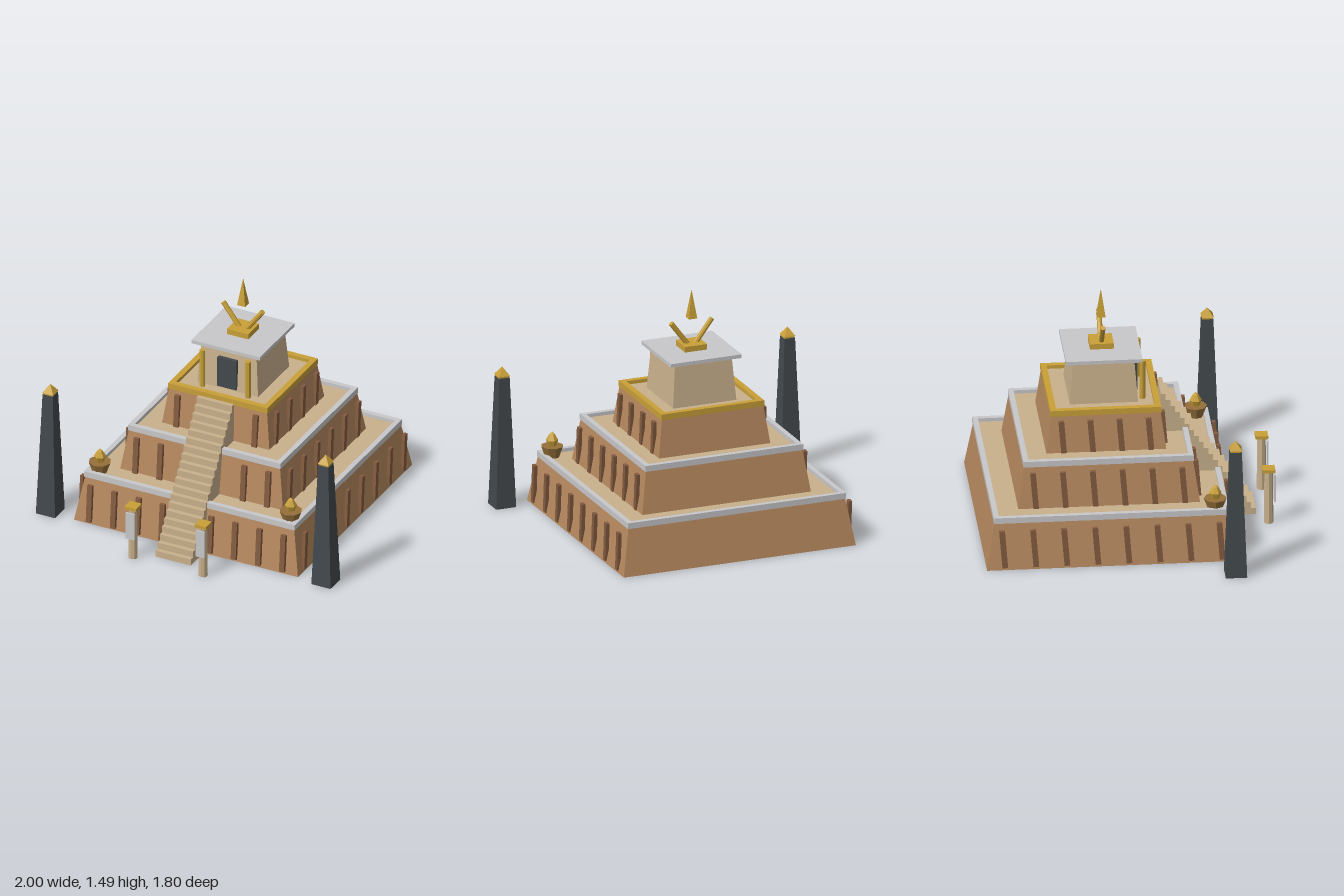
import * as THREE from 'three';

const CZ = -0.14; // centre of the stepped temple in z
const mat = (name, color) => Object.assign(new THREE.MeshStandardMaterial({ color }), { name });

export function createModel() {
  const brick = mat('brick', 0xb5885e);
  const pilasterBrown = mat('pilasterBrown', 0x845c40);
  const sand = mat('sand', 0xc8b08c);
  const stone = mat('paleStone', 0xc8c8ca);
  const gold = mat('gold', 0xc9a038);
  const dark = mat('darkStone', 0x43494d);
  const bronze = mat('bronze', 0x96703a);

  const model = new THREE.Group();
  model.name = 'steppedTemple';

  // Adds a faceted mesh
  function add(name, geometry, material, x = 0, y = 0, z = 0, parent = model) {
    const g = geometry.index ? geometry.toNonIndexed() : geometry;
    g.computeVertexNormals();
    const mesh = new THREE.Mesh(g, material);
    mesh.name = name;
    mesh.position.set(x, y, z);
    parent.add(mesh);
    return mesh;
  }
  const box = (w, h, d) => new THREE.BoxGeometry(w, h, d);
  // Square frustum standing on its own base
  const frustum = (bottom, top, h) =>
    new THREE.CylinderGeometry(top * Math.SQRT2, bottom * Math.SQRT2, h, 4)
      .rotateY(Math.PI / 4).translate(0, h / 2, 0);
  const square = (Type, r) => new Type([[-r, -r], [r, -r], [r, r], [-r, r]].map(p => new THREE.Vector2(...p)));
  // Square ring lying flat
  function ring(outer, inner, h) {
    const shape = square(THREE.Shape, outer);
    shape.holes.push(square(THREE.Path, inner));
    return new THREE.ExtrudeGeometry(shape, { depth: h, bevelEnabled: false }).rotateX(-Math.PI / 2);
  }

  // Tiers: sloped walls, parapet, floor and pilasters
  const tiers = [
    { y0: 0, y1: 0.29, bottom: 0.76, top: 0.71, outer: 0.715, inner: 0.683, rim: stone,
      ribs: [0.015, 0.26], front: [0.164, 0.328, 0.492, 0.656], sides: 8 },
    { y0: 0.3, y1: 0.565, bottom: 0.553, top: 0.513, outer: 0.517, inner: 0.485, rim: stone,
      ribs: [0.3, 0.54], front: [0.283, 0.447], sides: 6 },
    { y0: 0.575, y1: 0.812, bottom: 0.365, top: 0.333, outer: 0.337, inner: 0.3, rim: gold,
      ribs: [0.575, 0.79], front: [0.265], sides: 4 },
  ];
  tiers.forEach((t, i) => {
    const tier = new THREE.Group();
    tier.name = 'tier' + (i + 1);
    tier.position.z = CZ;
    model.add(tier);
    add('walls', frustum(t.bottom, t.top, t.y1 - t.y0), brick, 0, t.y0, 0, tier);
    add('parapet', ring(t.outer, t.inner, 0.037), t.rim, 0, t.y1, 0, tier);
    add('floor', box(t.inner * 2, 0.015, t.inner * 2), sand, 0, t.y1 + 0.0075, 0, tier);

    const [r0, r1] = t.ribs;
    const rib = (name, x, z, w, d) => {
      add(name, box(w, r1 - r0, d), pilasterBrown, x, (r0 + r1) / 2, z, tier).rotation.x = -0.08;
    };
    const reach = t.bottom - 0.1, off = t.bottom - 0.005;
    for (const s of [-1, 1]) {
      for (const x of t.front) rib('frontPilaster', s * x, off, 0.034, 0.022);
      for (let k = 0; k < t.sides; k++) {
        rib('sidePilaster', s * off, -reach + 2 * reach * k / (t.sides - 1), 0.022, 0.034);
      }
    }
  });

  // Stairway
  const steps = 20, rise = 0.83 / steps, run = 0.0288;
  const profile = new THREE.Shape();
  profile.moveTo(0.79, 0);
  for (let i = 0; i < steps; i++) {
    profile.lineTo(0.79 - i * run, (i + 1) * rise);
    profile.lineTo(0.79 - (i + 1) * run, (i + 1) * rise);
  }
  profile.lineTo(0.79 - steps * run, 0);
  add('stairway', new THREE.ExtrudeGeometry(profile, { depth: 0.24, bevelEnabled: false })
    .rotateY(-Math.PI / 2), sand, 0.12);

  // Shrine with roof, door and columns
  add('shrineWalls', frustum(0.208, 0.186, 0.28), sand, 0, 0.82, CZ);
  add('shrineRoof', box(0.464, 0.023, 0.464), stone, 0, 1.112, CZ);
  add('door', box(0.13, 0.2, 0.025), dark, 0, 0.94, 0.065);

  // Roof altar with horns and spire
  add('altar', box(0.145, 0.035, 0.145), gold, 0, 1.142, CZ);
  add('spire', frustum(0.027, 0.001, 0.175), gold, 0, 1.315, CZ);

  for (const s of [-1, 1]) {
    add('shrineColumn', new THREE.CylinderGeometry(0.018, 0.018, 0.25, 8), gold, s * 0.155, 0.953, 0.098);
    add('horn', new THREE.CylinderGeometry(0.016, 0.016, 0.19, 8), gold, s * 0.077, 1.22, CZ)
      .rotation.z = -s * 0.64;

    // Fire bowl
    add('fireBowl', new THREE.CylinderGeometry(0.07, 0.045, 0.07, 8), bronze, s * 0.648, 0.34, 0.495);
    const flame = [[0, 0], [0.022, 0], [0.038, 0.04], [0.018, 0.075], [0, 0.092]].map(p => new THREE.Vector2(...p));
    add('flame', new THREE.LatheGeometry(flame, 6), gold, s * 0.648, 0.372, 0.495);

    // Obelisk
    add('obeliskShaft', frustum(0.065, 0.035, 0.825), dark, s * 0.935, 0, 0.592);
    add('obeliskCollar', box(0.066, 0.016, 0.066), gold, s * 0.935, 0.83, 0.592);
    add('obeliskTip', frustum(0.037, 0.0005, 0.053), gold, s * 0.935, 0.836, 0.592);

    // Gate post with banner
    add('gatePost', new THREE.CylinderGeometry(0.026, 0.029, 0.345, 8), sand, s * 0.238, 0.1725, 0.857);
    add('gatePostCap', box(0.077, 0.02, 0.077), gold, s * 0.238, 0.354, 0.857);
    add('banner', box(0.06, 0.18, 0.009), stone, s * 0.238, 0.235, 0.894);
  }
  return model;
}
